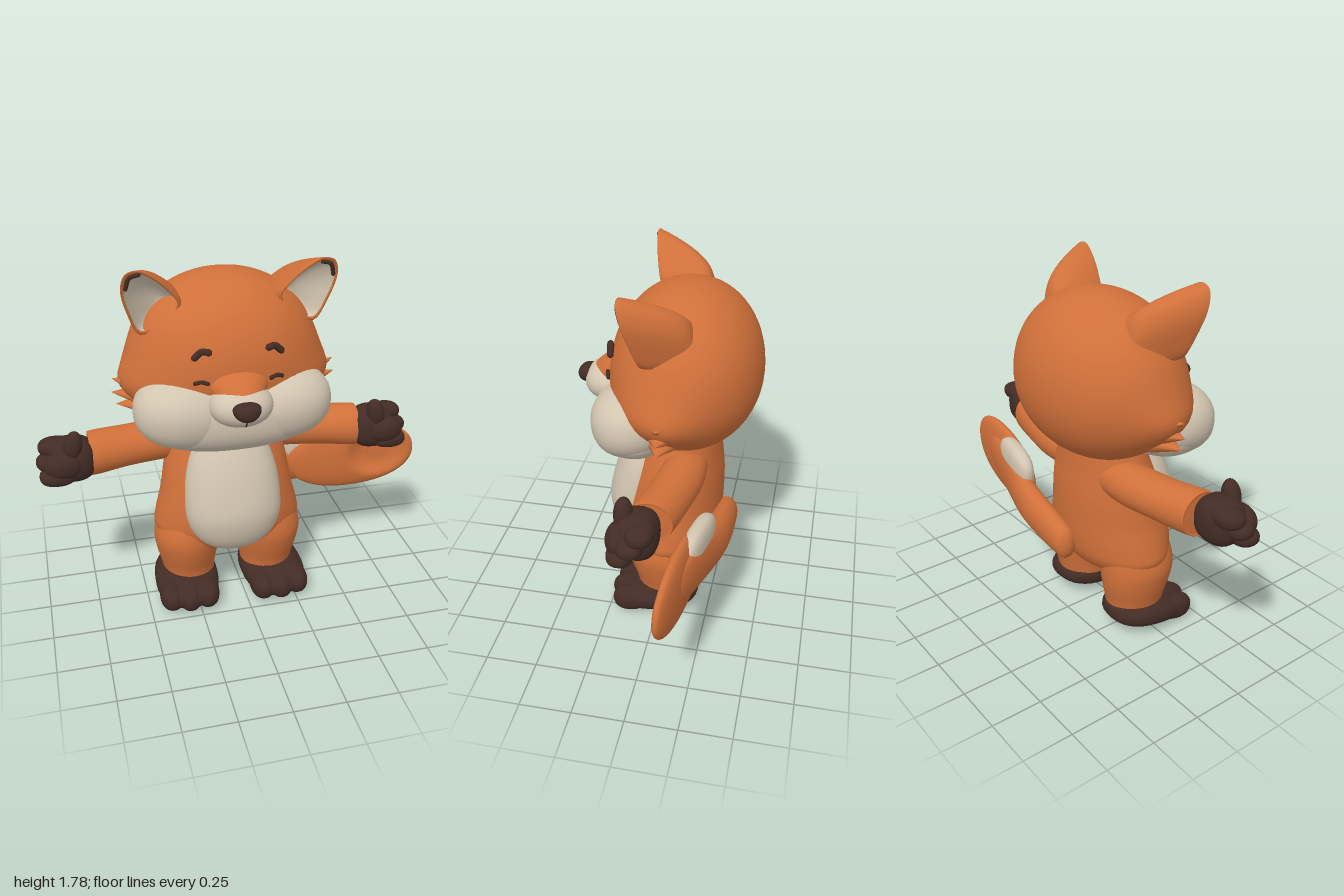
import * as THREE from 'three';
import { mergeVertices } from 'three/addons/utils/BufferGeometryUtils.js';

const mat = (name, color) => {
  const m = new THREE.MeshStandardMaterial({ color });
  m.name = name;
  return m;
};

// Squared-off ellipsoid: p = 2 is round, higher is boxier; warp moves vertices by a rule.
function blob(parent, name, material, pos, radii, { p = 2, rot = [0, 0, 0], warp, seg = 36 } = {}) {
  let geo = new THREE.SphereGeometry(1, seg, Math.round(seg * 0.7));
  geo.deleteAttribute('uv');
  geo.deleteAttribute('normal');
  geo = mergeVertices(geo, 1e-5);
  const a = geo.attributes.position, v = new THREE.Vector3();
  for (let i = 0; i < a.count; i++) {
    v.fromBufferAttribute(a, i);
    const n = Math.abs(v.x) ** p + Math.abs(v.y) ** p + Math.abs(v.z) ** p;
    v.multiplyScalar(n ** (-1 / p));
    if (warp) warp(v);
    a.setXYZ(i, v.x * radii[0], v.y * radii[1], v.z * radii[2]);
  }
  geo.computeVertexNormals();
  return place(parent, name, geo, material, pos, rot);
}

function place(parent, name, geo, material, pos = [0, 0, 0], rot = [0, 0, 0]) {
  const mesh = new THREE.Mesh(geo, material);
  mesh.name = name;
  mesh.position.set(...pos);
  mesh.rotation.set(...rot);
  parent.add(mesh);
  return mesh;
}

// Skin over closed rings of points.
function loft(rings, flip = false) {
  const n = rings[0].length, idx = [];
  for (let i = 0; i < rings.length - 1; i++) {
    for (let j = 0; j < n; j++) {
      const k = (j + 1) % n, a = i * n + j, b = a + n, c = i * n + k, d = c + n;
      if (flip) idx.push(a, c, b, c, d, b);
      else idx.push(a, b, c, c, b, d);
    }
  }
  const geo = new THREE.BufferGeometry().setFromPoints(rings.flat());
  geo.setIndex(idx);
  geo.computeVertexNormals();
  return geo;
}

// Elliptical sections [y, centreX, centreZ, radiusX, radiusZ], smoothed along the length.
function stack(sections, steps = 5, n = 36) {
  const at = (f) => {
    const i = Math.min(Math.floor(f), sections.length - 2), t = f - i;
    const get = (k) => sections[Math.max(0, Math.min(sections.length - 1, k))];
    return sections[i].map((_, c) => {
      const [p0, p1, p2, p3] = [get(i - 1)[c], get(i)[c], get(i + 1)[c], get(i + 2)[c]];
      return p1 + 0.5 * t * (p2 - p0 + t * (2 * p0 - 5 * p1 + 4 * p2 - p3 + t * (3 * (p1 - p2) + p3 - p0)));
    });
  };
  const rings = [];
  for (let s = 0; s <= (sections.length - 1) * steps; s++) {
    const [y, x, z, rx, rz] = at(s / steps);
    rings.push(Array.from({ length: n }, (_, j) => {
      const a = (j / n) * Math.PI * 2;
      return new THREE.Vector3(x + Math.max(rx, 0.001) * Math.cos(a), y, z + Math.max(rz, 0.001) * Math.sin(a));
    }));
  }
  return loft(rings);
}

function line(parent, name, material, pts, radius) {
  const curve = new THREE.CatmullRomCurve3(pts.map((q) => new THREE.Vector3(...q)));
  place(parent, name, new THREE.TubeGeometry(curve, 16, radius, 8), material);
  for (const q of [pts[0], pts[pts.length - 1]]) blob(parent, name + 'End', material, q, [radius, radius, radius], { seg: 8 });
}

export function createModel() {
  const root = new THREE.Group();
  root.name = 'fox';
  const fur = mat('orange fur', 0xd0703a);
  const cream = mat('cream fur', 0xd2c5b0);
  const dark = mat('dark brown', 0x432c25);

  const body = new THREE.Group();
  body.name = 'body';
  body.position.x = -0.065;
  root.add(body);

  // Torso and belly
  place(body, 'torso', stack([
    [0.275, 0, -0.02, 0, 0], [0.285, 0, -0.02, 0.13, 0.1], [0.33, 0, -0.025, 0.29, 0.185], [0.4, 0, -0.03, 0.37, 0.228],
    [0.48, 0, -0.03, 0.365, 0.245], [0.6, 0, -0.035, 0.335, 0.245], [0.73, 0, -0.05, 0.312, 0.228],
    [0.85, 0, -0.065, 0.285, 0.2], [0.98, 0, -0.085, 0.24, 0.17],
  ]), fur);
  blob(body, 'belly', cream, [-0.005, 0.58, 0.14], [0.238, 1, 0.16], {
    p: 2.2,
    warp: (v) => {
      v.z -= v.y > 0 ? v.y * 0.55 : 0;
      v.y *= v.y > 0 ? 0.43 : 0.245;
    },
  });

  // Head, widening towards the cheeks at the front
  const head = new THREE.Group();
  head.name = 'head';
  body.add(head);
  blob(head, 'skull', fur, [0, 1.28, -0.09], [0.46, 0.42, 0.36], {
    p: 2.06, seg: 56,
    warp: (v) => {
      v.x *= 1 + 0.14 * Math.exp(-(((v.y + 0.26) / 0.32) ** 2)) * THREE.MathUtils.smoothstep(v.z, -0.6, 0.15);
      if (v.y < 0) v.y *= 0.88;
    },
  });
  blob(head, 'cheeks', cream, [0, 1.085, 0.115], [0.45, 0.187, 0.205], { p: 2.3, seg: 56 });
  blob(head, 'muzzle', cream, [0, 1.18, 0.28], [0.148, 0.095, 0.132], { p: 2.1 });
  blob(head, 'snoutBridge', fur, [0, 1.28, 0.19], [0.16, 0.08, 0.225], { rot: [0.46, 0, 0], warp: (v) => { v.x *= 1 - 0.4 * v.z; } });
  blob(head, 'nose', dark, [0, 1.195, 0.4], [0.073, 0.044, 0.05], { p: 2.2, warp: (v) => { v.x *= 0.85 + 0.2 * v.y; } });
  line(head, 'mouthLine', dark, [[0, 1.165, 0.41], [0, 1.14, 0.4], [0, 1.115, 0.378]], 0.004);

  for (const s of [1, -1]) {
    blob(head, 'cheekPuff', cream, [s * 0.225, 1.11, 0.13], [0.245, 0.173, 0.19], { p: 2.2, rot: [0.2, 0, s * 0.1], seg: 44 });

    // Brows and closed eyes
    line(head, 'brow', dark, [[s * 0.136, 1.429, 0.25], [s * 0.165, 1.432, 0.242], [s * 0.197, 1.405, 0.237]], 0.016);
    line(head, 'eye', dark, [[s * 0.145, 1.288, 0.266], [s * 0.172, 1.295, 0.258], [s * 0.2, 1.287, 0.249]], 0.01);

    // Cheek tufts
    [[1.195, 0.468, 0.4], [1.14, 0.47, 0.2], [1.085, 0.45, 0.1]].forEach(([y, x, tilt]) => {
      const tuft = place(head, 'cheekTuft', new THREE.ConeGeometry(0.05, 0.16, 16), fur, [s * x, y, -0.04], [0, 0, -s * (Math.PI / 2 - tilt)]);
      tuft.scale.z = 1.6;
    });

    // Cupped ear: rim outline swept back into a full dome, with a shallower lining
    const rim = new THREE.CatmullRomCurve3([
      [0.405, 1.46], [0.465, 1.58], [0.49, 1.7], [0.468, 1.77], [0.415, 1.785], [0.35, 1.75], [0.275, 1.68], [0.225, 1.6], [0.295, 1.52],
    ].map(([x, y]) => new THREE.Vector3(s * x, y, 0.05 + (y - 1.47) * 0.28)), true).getPoints(40).slice(0, 40);
    const mid = new THREE.Vector3(s * 0.37, 1.64, 0.098);
    const ring = (scale, depth, back) => rim.map((q) => q.clone().sub(mid).multiplyScalar(scale).add(mid).addScaledVector(back, depth));
    const dome = (scale, power, back) => Array.from({ length: 15 }, (_, i) => {
      const a = (i / 14) * Math.PI / 2;
      return ring(scale * Math.max(Math.cos(a), 0.00001) ** power, Math.sin(a), back);
    });
    const outer = new THREE.Vector3(s * -0.1, -0.07, -0.265), inner = new THREE.Vector3(s * -0.05, -0.03, -0.12);
    place(head, 'ear', loft([ring(0.89, 0.01, outer), ring(0.95, -0.02, outer), ...dome(1, 0.45, outer)], s < 0), fur);
    place(head, 'earLining', loft(dome(0.9, 1, inner), s > 0), cream);
    line(head, 'earTip', dark, [[s * 0.468, 1.7, 0.117], [s * 0.45, 1.752, 0.132], [s * 0.41, 1.766, 0.136]], 0.01);

    // Arm
    place(body, 'arm', stack([
      [0.15, 0, -0.12, 0.09, 0.1], [0.3, 0, -0.115, 0.1, 0.11], [0.48, 0, -0.085, 0.1, 0.11],
      [0.655, 0, -0.045, 0.108, 0.108], [0.67, 0, -0.045, 0.09, 0.09], [0.672, 0, -0.045, 0, 0],
    ]), fur, [0, 0.845, 0], [0, 0, -s * Math.PI / 2]);

    // Hand with curled fingers and raised thumb
    const hand = new THREE.Group();
    hand.name = 'hand';
    body.add(hand);
    blob(hand, 'palm', dark, [s * 0.755, 0.848, -0.005], [0.112, 0.108, 0.1], { p: 2.6 });
    [[0.825, 0.905, -0.035], [0.84, 0.848, 0.005], [0.83, 0.792, 0.05]].forEach(([x, y, z]) =>
      blob(hand, 'finger', dark, [s * x, y, z], [0.085, 0.044, 0.062], { p: 2.4 }));
    blob(hand, 'knuckle', dark, [s * 0.8, 0.85, 0.065], [0.09, 0.07, 0.058]);
    blob(hand, 'thumb', dark, [s * 0.75, 0.94, 0.055], [0.045, 0.078, 0.043], { rot: [0, 0, s * 0.2] });

    // Leg
    place(body, 'leg', stack([
      [0.12, s * 0.205, -0.03, 0.13, 0.145], [0.18, s * 0.208, -0.03, 0.14, 0.155], [0.27, s * 0.212, -0.025, 0.158, 0.178],
      [0.36, s * 0.21, -0.02, 0.168, 0.188], [0.46, s * 0.19, -0.025, 0.155, 0.175], [0.54, s * 0.17, -0.03, 0.11, 0.12],
    ]), fur);

    // Foot with three soft toes
    const foot = new THREE.Group();
    foot.name = 'foot';
    foot.position.set(s * 0.228, 0.09, 0.02);
    foot.rotation.set(0.12, s * 0.06, 0);
    body.add(foot);
    blob(foot, 'sole', dark, [0, 0, 0], [0.163, 0.073, 0.218], { p: 2.5 });
    for (const t of [-1, 0, 1]) {
      blob(foot, 'toe', dark, [t * 0.09, -0.004, t ? 0.125 : 0.14], [0.062, 0.068, 0.092], { p: 2.2 });
    }
  }

  // Tail: stalk behind the hips, thin scooped brush and a cream patch
  const tail = new THREE.Group();
  tail.name = 'tail';
  root.add(tail);
  place(tail, 'tailStalk', stack([
    [-0.11, -0.45, -0.3, 0, 0], [-0.095, -0.45, -0.3, 0.06, 0.04], [-0.04, -0.46, -0.3, 0.09, 0.06], [0.25, -0.515, -0.29, 0.11, 0.065],
    [0.5, -0.57, -0.25, 0.125, 0.045], [0.75, -0.61, -0.2, 0.09, 0.03], [0.85, -0.62, -0.18, 0, 0],
  ]), fur, [0, 0, 0], [0, 0, -Math.PI / 2]);
  blob(tail, 'tailBrush', fur, [0.66, 0.58, -0.185], [0.342, 0.185, 0.05], {
    p: 2.2, rot: [0, -0.12, 0.1], seg: 64,
    warp: (v) => {
      const r = ((v.x - 0.43) / 0.55) ** 2 + ((v.y - 0.08) / 0.85) ** 2;
      if (v.z > 0) v.z *= 1 - 0.95 * THREE.MathUtils.smoothstep(1 - r, 0, 0.9);
    },
  });
  blob(tail, 'tailPatch', cream, [0.465, 0.655, -0.238], [0.178, 0.1, 0.05], { p: 2.7, rot: [0, -0.18, 0.06] });

  return root;
}
